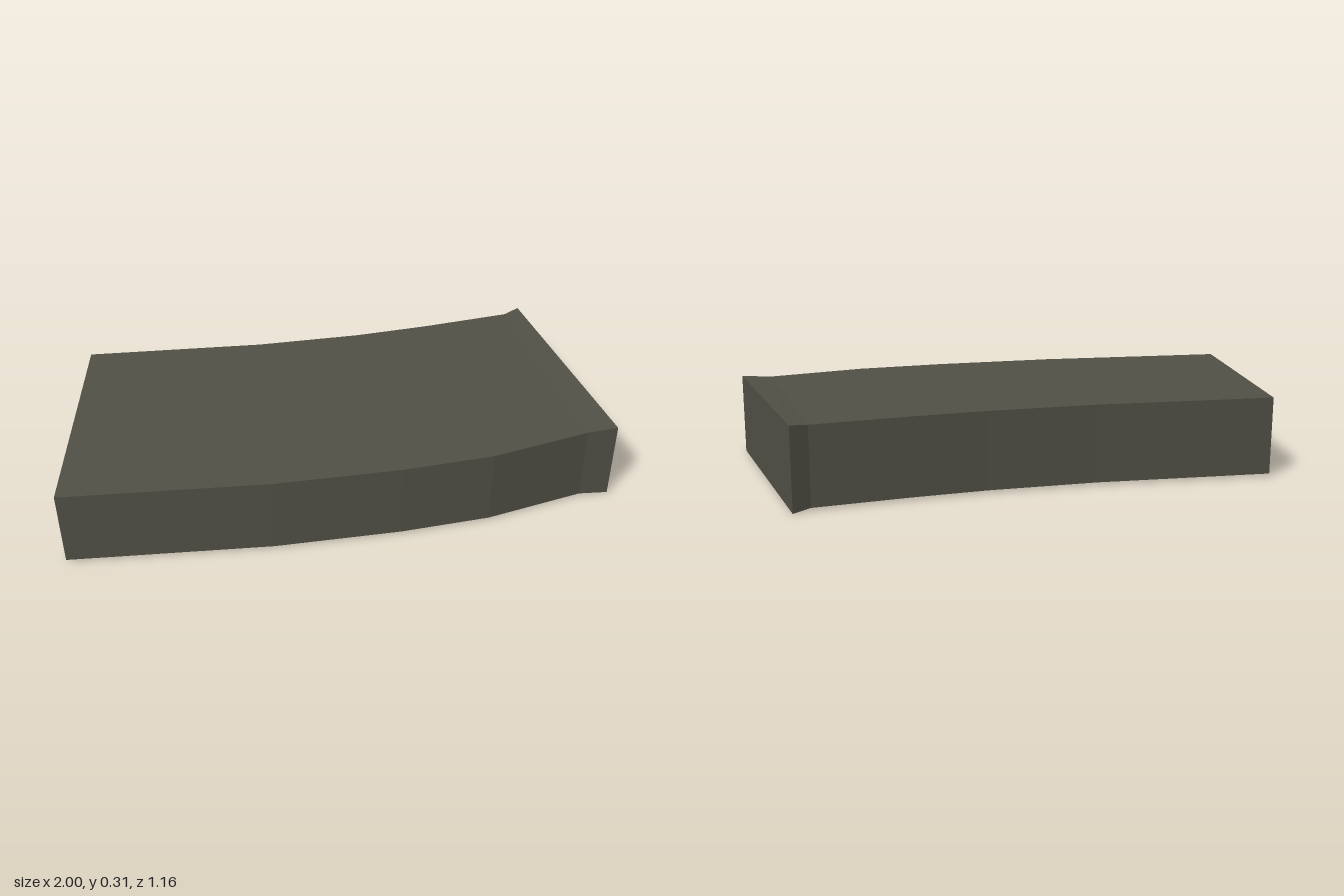
import * as THREE from 'three';

// Cross-sections from the closed end to the flared end:
// back edge x, z; front edge x, z; bottom y, top y
const SECTIONS = [
  [-1.0, -0.29, -1.0, 0.58, 0.01, 0.303],
  [-0.33, -0.345, -0.26, 0.527, 0.01, 0.303],
  [0.07, -0.405, 0.2, 0.461, 0.01, 0.303],
  [0.35, -0.465, 0.53, 0.393, 0.01, 0.303],
  [0.69, -0.55, 0.89, 0.265, 0.01, 0.303],
  [0.75, -0.585, 1.0, 0.25, 0.002, 0.311],
];

// Joins four-cornered rings into a closed, flat-faceted solid
function loft(rings) {
  const positions = [];
  const quad = (a, b, c, d) => positions.push(...a, ...b, ...c, ...a, ...c, ...d);
  for (let i = 0; i < rings.length - 1; i++) {
    const a = rings[i], b = rings[i + 1];
    for (let k = 0; k < 4; k++) {
      const n = (k + 1) % 4;
      quad(a[k], b[k], b[n], a[n]);
    }
  }
  quad(...rings[0]);
  quad(...[...rings[rings.length - 1]].reverse());
  const geometry = new THREE.BufferGeometry();
  geometry.setAttribute('position', new THREE.Float32BufferAttribute(positions, 3));
  geometry.computeVertexNormals();
  return geometry;
}

export function createModel() {
  const group = new THREE.Group();
  group.name = 'curvedCase';
  const darkOlive = new THREE.MeshStandardMaterial({ color: 0x505046 });
  darkOlive.name = 'darkOlive';

  const rings = SECTIONS.map(([bx, bz, fx, fz, y0, y1]) => [
    [bx, y0, bz], [fx, y0, fz], [fx, y1, fz], [bx, y1, bz],
  ]);

  // Curved body with its flared end lip
  const body = new THREE.Mesh(loft(rings), darkOlive);
  body.name = 'curvedBody';
  group.add(body);
  return group;
}
